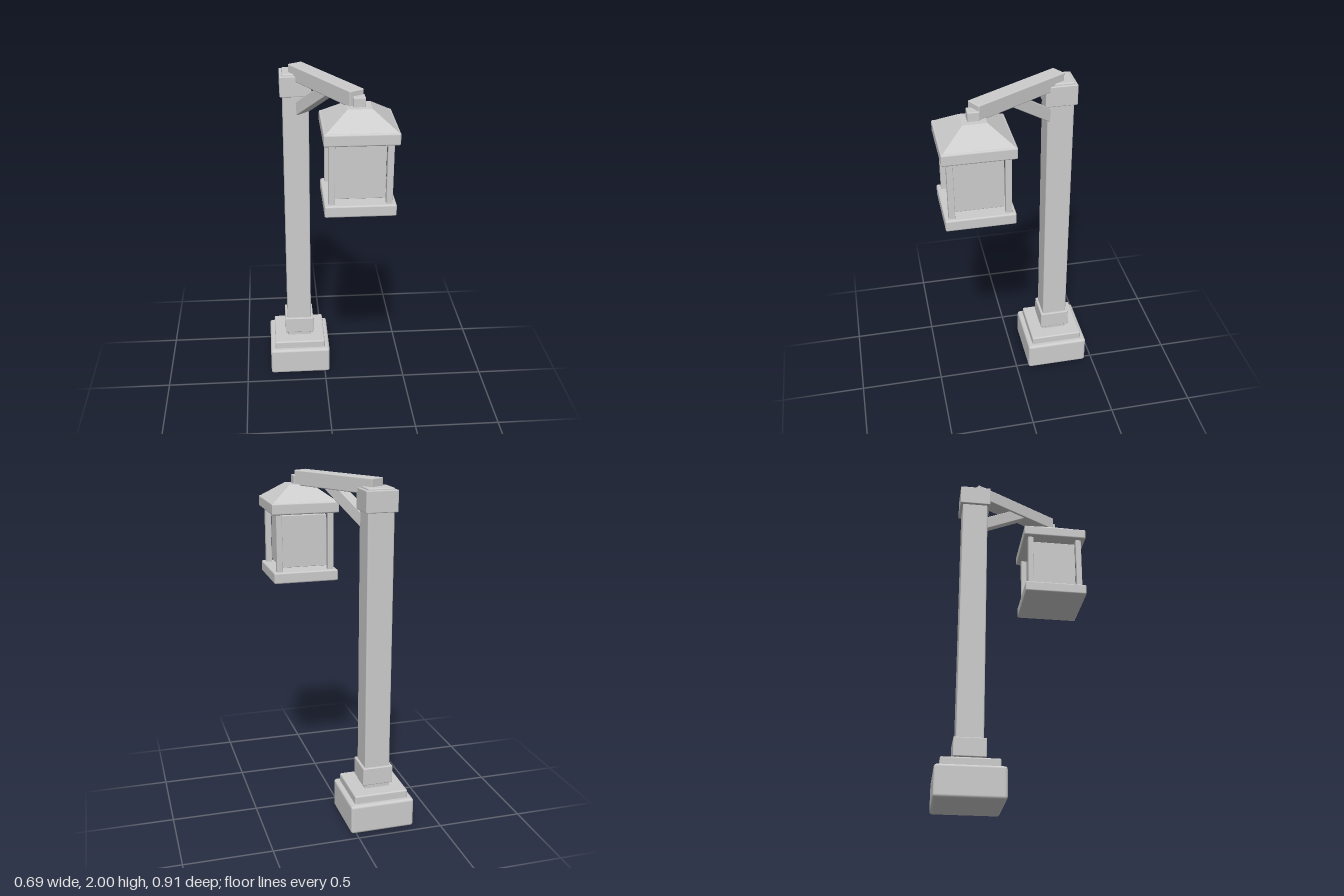
import * as THREE from 'three';
import { RoundedBoxGeometry } from 'three/addons/geometries/RoundedBoxGeometry.js';

export function createModel() {
  const model = new THREE.Group();
  model.name = 'streetLantern';
  const grey = new THREE.MeshStandardMaterial({ color: 0xcccccc });
  grey.name = 'light grey';

  // Square block from y0 to y1 with softly bevelled edges, centred on its group
  function block(parent, name, width, y0, y1, bevel, x = 0, z = 0) {
    const mesh = new THREE.Mesh(new RoundedBoxGeometry(width, y1 - y0, width, 2, bevel), grey);
    mesh.name = name;
    mesh.position.set(x, (y0 + y1) / 2, z);
    parent.add(mesh);
    return mesh;
  }

  // Post with stepped base, lower collar and upper cap
  const post = new THREE.Group();
  post.name = 'post';
  post.position.set(-0.158, 0, -0.265);
  model.add(post);
  block(post, 'base', 0.378, 0, 0.175, 0.016);
  block(post, 'baseStep', 0.318, 0.15, 0.222, 0.009);
  block(post, 'shaft', 0.15, 0.2, 1.955, 0.008);
  block(post, 'lowerCollar', 0.178, 0.247, 0.353, 0.005);
  block(post, 'upperCollar', 0.18, 1.827, 1.945, 0.005);

  // Arm and brace; local +z runs from the post towards the lantern
  const bracket = new THREE.Group();
  bracket.name = 'bracket';
  bracket.position.copy(post.position);
  bracket.rotation.y = Math.PI / 6;
  model.add(bracket);

  const arm = new THREE.Mesh(new RoundedBoxGeometry(0.09, 0.086, 0.598, 2, 0.006), grey);
  arm.name = 'arm';
  arm.position.set(0, 1.957, 0.298);
  bracket.add(arm);

  const slope = Math.atan(0.66);
  const brace = new THREE.Mesh(new RoundedBoxGeometry(0.07, 0.067, 0.42, 2, 0.004), grey);
  brace.name = 'brace';
  brace.position.set(0, 1.848, 0.206);
  brace.rotation.x = -slope;
  bracket.add(brace);

  // Hanging lantern
  const lantern = new THREE.Group();
  lantern.name = 'lantern';
  lantern.position.set(0.151, 0, 0.257);
  model.add(lantern);
  block(lantern, 'floor', 0.378, 1.375, 1.44, 0.009);
  block(lantern, 'lampBody', 0.268, 1.457, 1.757, 0.003);
  block(lantern, 'eaves', 0.39, 1.77, 1.835, 0.009);
  block(lantern, 'hanger', 0.065, 1.9, 1.97, 0.005);

  // Corner posts
  for (const sx of [-1, 1]) {
    for (const sz of [-1, 1]) {
      block(lantern, 'cornerPost', 0.034, 1.43, 1.78, 0.003, sx * 0.151, sz * 0.151);
    }
  }

  // Truncated pyramid roof
  const roofGeometry = new THREE.CylinderGeometry(
    0.128 * Math.SQRT1_2, 0.376 * Math.SQRT1_2, 0.088, 4
  ).rotateY(Math.PI / 4).toNonIndexed();
  roofGeometry.computeVertexNormals();
  const roof = new THREE.Mesh(roofGeometry, grey);
  roof.name = 'roof';
  roof.position.y = 1.877;
  lantern.add(roof);

  return model;
}
